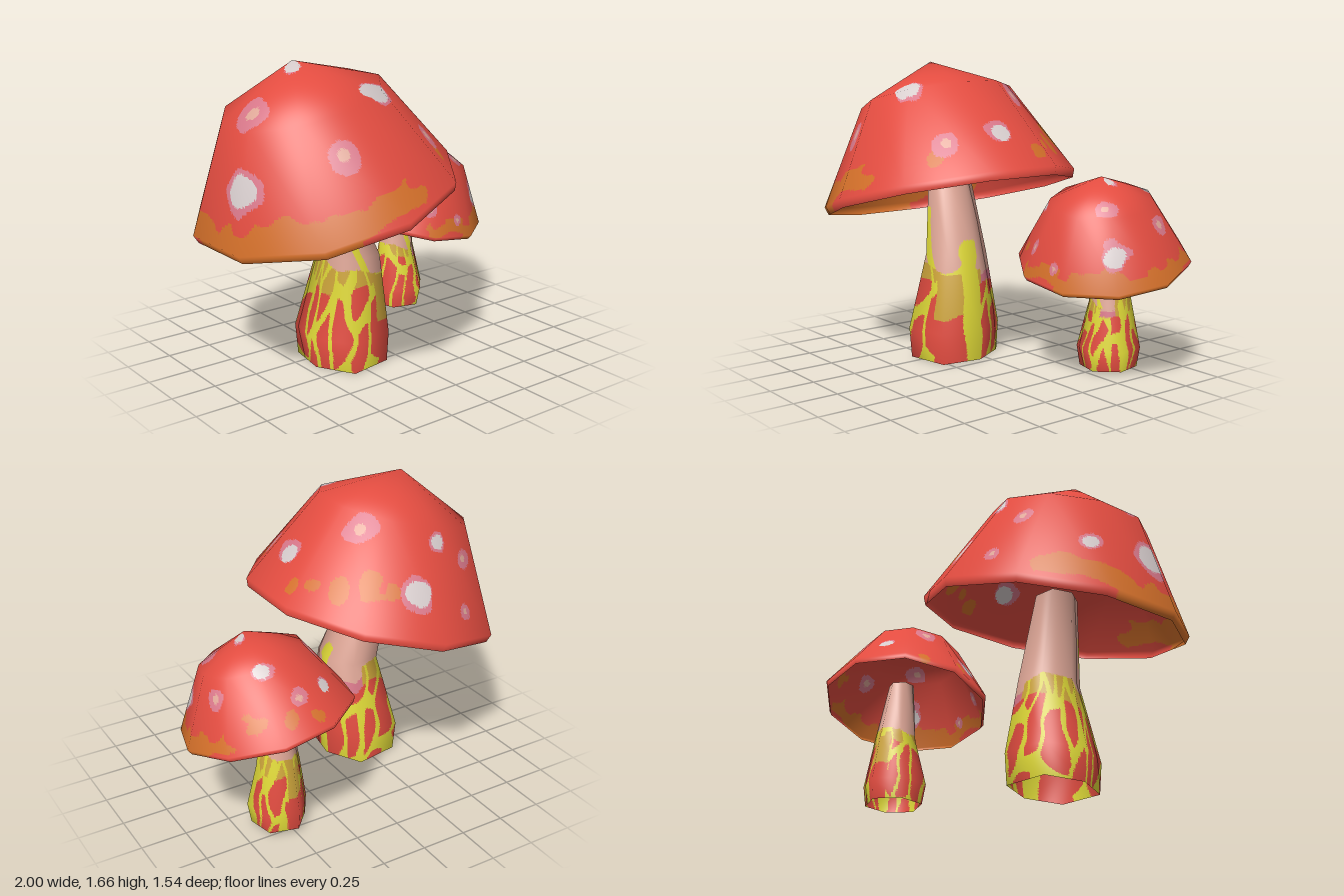
import * as THREE from 'three';

const V = (x, y, z) => new THREE.Vector3(x, y, z);
const colours = {
  capRed: 0xe24c40, rimOrange: 0xd4702a, spotWhite: 0xd6cccc, spotPink: 0xd9788a,
  stemSkin: 0xe0a898, streakYellow: 0xe0da38, stemOchre: 0xcfa63c,
};
const names = Object.keys(colours);

// Smooth wobble in about -1..1
const wobble = (p, f) =>
  (Math.sin(f * p.x + 2 * Math.sin(f * 0.7 * p.y + 1)) + Math.sin(f * 1.1 * p.z + 2 * Math.sin(f * 0.6 * p.x + 4))
    + Math.sin(f * 1.3 * p.y + 1.5 * Math.sin(f * 0.8 * p.z))) / 3;

const hash = (a, b) => {
  const s = Math.sin(a * 127.1 + b * 311.7) * 43758.5453;
  return s - Math.floor(s);
};

// Distance to the nearest border of an irregular cell pattern that wraps every n cells
function cellEdge(u, v, n, seed) {
  let d1 = 9, d2 = 9;
  const cu = Math.floor(u), cv = Math.floor(v);
  for (let i = -1; i <= 1; i++) for (let j = -1; j <= 1; j++) {
    const a = ((cu + i) % n + n) % n, b = cv + j;
    const d = Math.hypot(cu + i + hash(a, b + seed) - u, b + hash(a + 31, b + seed) - v);
    if (d < d1) { d2 = d1; d1 = d; } else if (d < d2) d2 = d;
  }
  return d2 - d1;
}

// Smooth-shaded skin over rings [x, y, z, radius, squash] from bottom to top, where squash
// pulls in every third corner; split finely so that paint(point) can colour each patch
function skin(rings, sides, turn, step, paint, materials) {
  const pos = [], start = [], index = [];
  rings.forEach(([x, y, z, radius, squash = 1]) => {
    start.push(pos.length / 3);
    for (let i = 0; i < (radius ? sides : 1); i++) {
      const a = turn + i / sides * Math.PI * 2, r = radius * (i % 3 ? 1 : squash);
      pos.push(x + r * Math.cos(a), y, z + r * Math.sin(a));
    }
  });
  const id = (j, i) => start[j] + (rings[j][3] ? i % sides : 0);
  for (let j = 0; j + 1 < rings.length; j++) for (let i = 0; i < sides; i++) {
    if (rings[j + 1][3]) index.push(id(j, i), id(j + 1, i), id(j + 1, i + 1));
    index.push(id(j, i), id(j + 1, i + 1), id(j, i + 1));
  }
  const coarse = new THREE.BufferGeometry();
  coarse.setAttribute('position', new THREE.Float32BufferAttribute(pos, 3));
  coarse.setIndex(index);
  coarse.computeVertexNormals();
  const P = coarse.attributes.position, N = coarse.attributes.normal;

  const bins = names.map(() => ({ p: [], n: [] }));
  for (let t = 0; t < index.length; t += 3) {
    const k = [0, 1, 2].map(i => index[t + i]);
    const [A, B, C] = k.map(i => V().fromBufferAttribute(P, i));
    const [nA, nB, nC] = k.map(i => V().fromBufferAttribute(N, i));
    const n = Math.ceil(Math.max(A.distanceTo(B), B.distanceTo(C), C.distanceTo(A)) / step);
    const mix = (a, b, c, [i, j]) => V().addScaledVector(a, 1 - (i + j) / n).addScaledVector(b, i / n).addScaledVector(c, j / n);
    const put = (...corners) => {
      const pts = corners.map(c => mix(A, B, C, c));
      const mid = V().add(pts[0]).add(pts[1]).add(pts[2]).divideScalar(3);
      const bin = bins[names.indexOf(paint(mid))];
      corners.forEach((c, i) => {
        bin.p.push(...pts[i].toArray());
        bin.n.push(...mix(nA, nB, nC, c).normalize().toArray());
      });
    };
    for (let i = 0; i < n; i++) for (let j = 0; i + j < n; j++) {
      put([i, j], [i + 1, j], [i, j + 1]);
      if (i + j + 1 < n) put([i + 1, j], [i + 1, j + 1], [i, j + 1]);
    }
  }
  const geo = new THREE.BufferGeometry();
  let from = 0;
  bins.forEach((b, m) => {
    if (b.p.length) geo.addGroup(from, b.p.length / 3, m);
    from += b.p.length / 3;
  });
  geo.setAttribute('position', new THREE.Float32BufferAttribute(bins.flatMap(b => b.p), 3));
  geo.setAttribute('normal', new THREE.Float32BufferAttribute(bins.flatMap(b => b.n), 3));
  return new THREE.Mesh(geo, materials);
}

// Hollow tilted cap; spots [x, y, z, radius, isWhite] and orange flecks [x, y, z, radius] in model space
function makeCap({ centre, up, rings, turn, scale, orangeSide, spots, flecks }, materials) {
  const q = new THREE.Quaternion().setFromUnitVectors(V(0, 1, 0), up.clone().normalize());
  const hub = V(0, 0.1 * scale, 0), inverse = q.clone().invert();
  const toMark = ([x, y, z, r, white]) =>
    ({ dir: V(x, y, z).sub(centre).applyQuaternion(inverse).sub(hub).normalize(), r, white });
  const spotMarks = spots.map(toMark), fleckMarks = flecks.map(toMark);
  const paint = p => {
    const d = p.clone().sub(hub), length = d.length();
    d.normalize();
    const w = wobble(p, 13 / scale), fine = wobble(p, 31 / scale);
    const reach = m => d.distanceTo(m.dir) * length / m.r;
    for (const m of spotMarks) {
      const e = reach(m) * (1 + 0.2 * wobble(p, 28 / scale));
      if (e < (m.white ? 0.8 : 0.4)) return m.white ? 'spotWhite' : 'stemSkin';
      if (e < 1.04 + 0.3 * wobble(p, 17 / scale)) return 'spotPink';
    }
    if (fleckMarks.some(m => reach(m) < 0.95 + 0.6 * fine)) return 'rimOrange';
    // Ragged orange band on one side of the rim
    const s = V(p.x, 0, p.z).normalize().dot(orangeSide), h = p.y / scale;
    const low = s > 0.75 ? -1 : 0.05 + 0.05 * w;
    return s > 0.24 + 0.1 * fine && h > low && h < 0.165 + 0.04 * w + 0.05 * fine ? 'rimOrange' : 'capRed';
  };
  const cap = skin(rings, 10, turn, 0.018, paint, materials);
  cap.position.copy(centre);
  cap.quaternion.copy(q);
  return cap;
}

// Six-sided bent stem, open at both ends; swath, plain and bare are [place, half width] around it
function makeStem({ rings, turn, scale, seed, swath, plain, bare }, materials) {
  const [bx, by, bz] = rings[0];
  const near = (u, [place, half]) => Math.abs(u - place) < half;
  const paint = p => {
    const y = (p.y - by) / scale, w = wobble(p, 14 / scale);
    const u = (Math.atan2(p.z - bz, p.x - bx) / Math.PI + 1) * 5;
    const edge = cellEdge(1.2 * u + 0.3 * w + 1.2 * y, y * 2.6, 12, seed);
    if (y < 0.5 && near(u + 0.1 * w, plain)) return y < 0.27 + 0.03 * w ? 'capRed' : 'stemOchre';
    if (y < 0.68 && near(u + 0.2 * w, swath)) return 'streakYellow';
    if (y < 0.43 + 0.06 * w) return edge < 0.2 ? 'streakYellow' : 'capRed';
    if (y < 0.58 + 0.12 * w) {
      if (near(u, bare)) return y < 0.49 + 0.06 * w ? 'spotPink' : 'stemSkin';
      return edge < 0.17 ? 'streakYellow' : 'stemOchre';
    }
    return y < 0.85 && near(u, [8.5 - 4 * (0.85 - y), 0.22]) ? 'streakYellow' : 'stemSkin';
  };
  return skin(rings, 6, turn, 0.014, paint, materials);
}

export function createModel() {
  const materials = names.map(name => {
    const m = new THREE.MeshStandardMaterial({ color: colours[name], side: THREE.DoubleSide });
    m.name = name;
    return m;
  });
  const add = (parent, part, name) => { part.name = name; parent.add(part); };
  const model = new THREE.Group();
  model.name = 'mushrooms';

  // Large mushroom
  const large = new THREE.Group();
  add(model, large, 'largeMushroom');
  add(large, makeCap({
    centre: V(-0.32, 0.9, 0.05), up: V(-0.252, 0.968, 0), turn: Math.PI / 10, scale: 1,
    rings: [[0, 0, 0, 0.705], [0, 0.047, 0, 0.722], [0, 0.577, 0, 0.43], [0, 0.784, 0, 0]],
    orangeSide: V(-0.88, 0, 0.47),
    spots: [
      [-0.25, 1.49, 0.37, 0.09, 1], [-0.55, 1.26, 0.52, 0.08, 0], [0.09, 1.25, 0.37, 0.07, 0],
      [0.15, 1.28, 0.07, 0.068, 1], [-0.1, 1.46, -0.2, 0.08, 0], [-0.54, 1.63, 0.08, 0.05, 1],
      [-0.78, 1.42, 0.1, 0.095, 0], [-0.92, 1.07, 0.2, 0.11, 1], [-0.26, 1.18, -0.51, 0.085, 1],
      [-0.44, 1.4, -0.41, 0.045, 1], [-0.65, 1.3, -0.45, 0.05, 0], [-0.93, 1.07, -0.2, 0.05, 1],
      [-0.56, 1.03, -0.58, 0.04, 0],
    ],
    flecks: [
      [0.22, 1.18, -0.1, 0.045], [0.19, 1.21, -0.2, 0.045], [0.12, 1.22, -0.34, 0.06],
      [0, 1.25, -0.45, 0.07], [-0.1, 1.25, -0.52, 0.04], [0.1, 1.17, 0.46, 0.04],
    ],
  }, materials), 'largeCap');
  add(large, makeStem({
    rings: [[-0.245, 0, 0.085, 0.252, 0.8], [-0.248, 0.17, 0.085, 0.264, 0.84],
      [-0.21, 0.6, 0.095, 0.175, 0.88], [-0.34, 1.05, 0.05, 0.118, 0.9]],
    turn: -Math.PI / 18, scale: 1, seed: 3, swath: [5.2, 0.38], plain: [6.2, 0.6], bare: [3.7, 0.8],
  }, materials), 'largeStem');

  // Small mushroom
  const small = new THREE.Group();
  add(model, small, 'smallMushroom');
  add(small, makeCap({
    centre: V(0.54, 0.605, -0.335), up: V(0.154, 1, 0.2), turn: -0.035, scale: 0.62,
    rings: [[0, 0, 0, 0.45], [0, 0.028, 0, 0.465], [0, 0.36, 0, 0.275], [0, 0.492, 0, 0]],
    orangeSide: V(0.8, 0, 0.6),
    spots: [
      [0.22, 0.78, -0.13, 0.055, 1], [0.37, 0.9, -0.1, 0.03, 1], [0.43, 0.71, 0.02, 0.035, 0],
      [0.76, 0.94, -0.13, 0.055, 0], [0.86, 0.71, -0.11, 0.07, 1], [0.32, 0.95, -0.36, 0.052, 0],
      [0.65, 1.06, -0.26, 0.033, 1], [0.67, 1.0, -0.52, 0.055, 1], [0.53, 0.88, -0.66, 0.045, 0],
      [0.35, 0.87, -0.6, 0.045, 1], [0.86, 0.84, -0.41, 0.05, 0], [0.6, 0.63, 0.05, 0.03, 0],
    ],
    flecks: [
      [0.12, 0.74, -0.47, 0.035], [0.15, 0.73, -0.22, 0.04], [0.46, 0.78, -0.7, 0.035],
      [0.6, 0.8, -0.7, 0.035], [0.77, 0.77, -0.63, 0.05], [0.3, 0.69, -0.02, 0.035],
    ],
  }, materials), 'smallCap');
  add(small, makeStem({
    rings: [[0.525, 0.02, -0.395, 0.155, 0.95], [0.53, 0.13, -0.39, 0.172, 0.93],
      [0.525, 0.38, -0.405, 0.115], [0.53, 0.72, -0.375, 0.07]],
    turn: Math.PI / 12, scale: 0.72, seed: 17, swath: [5.2, 0.2], plain: [2, 0.6], bare: [6.3, 0.6],
  }, materials), 'smallStem');

  return model;
}
